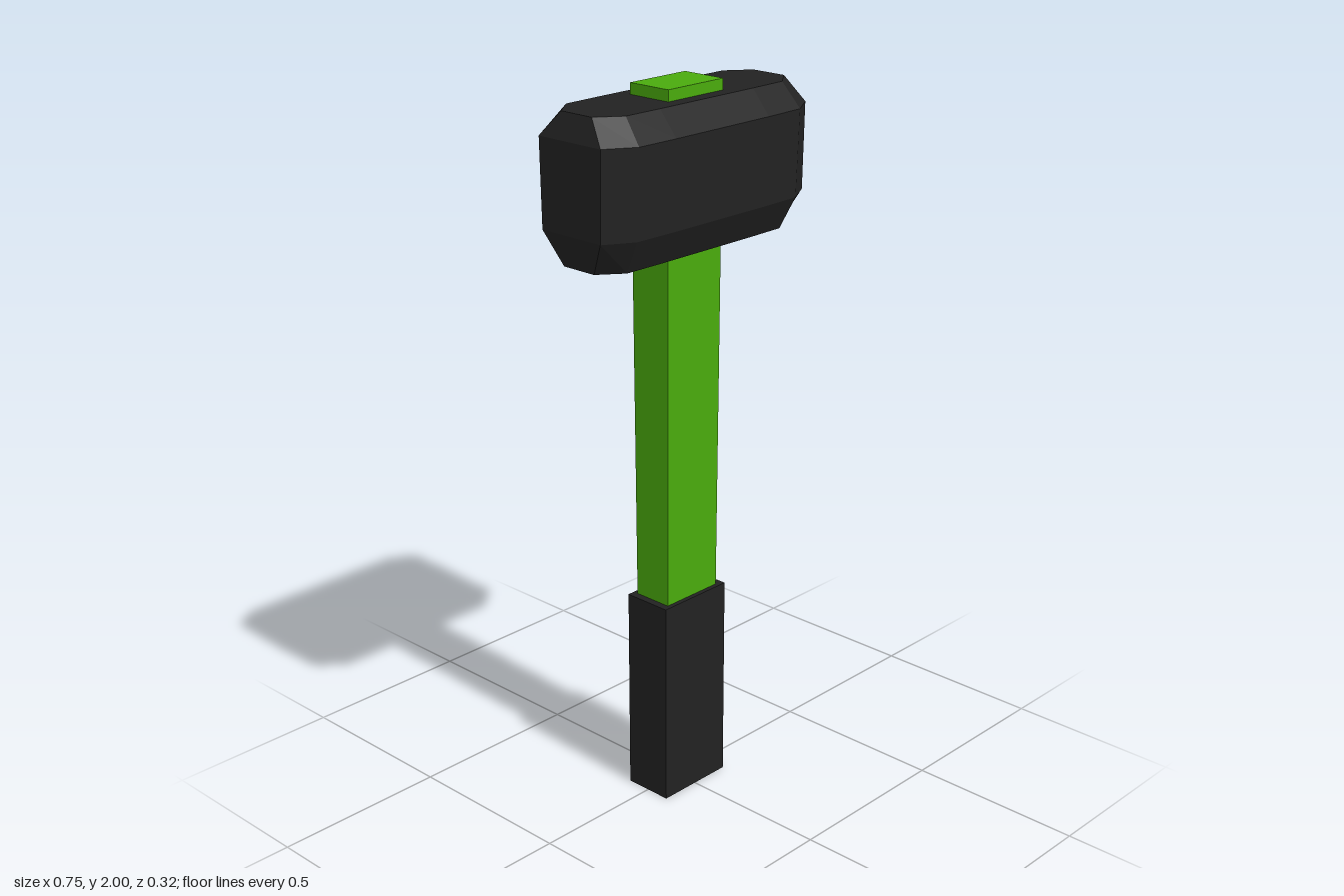
import * as THREE from 'three';

const rubber = new THREE.MeshStandardMaterial({ color: 0x222222 });
rubber.name = 'black';
rubber.flatShading = true;
const paint = new THREE.MeshStandardMaterial({ color: 0x4aab0d });
paint.name = 'green';

// Mirrors one quarter of a cross-section (x, z) into a full ring
function fullRing(quarter, y) {
  const back = [...quarter].reverse();
  return [
    ...quarter,
    ...back.map(([x, z]) => [-x, z]),
    ...quarter.map(([x, z]) => [-x, -z]),
    ...back.map(([x, z]) => [x, -z]),
  ].map(([x, z]) => new THREE.Vector3(x, y, z));
}

// Joins rings from bottom to top, with flat caps
function loft(rings) {
  const points = [];
  const n = rings[0].length;
  const bottom = rings[0];
  const top = rings[rings.length - 1];
  const bottomMid = new THREE.Vector3(0, bottom[0].y, 0);
  const topMid = new THREE.Vector3(0, top[0].y, 0);
  for (let i = 0; i < n; i++) {
    const j = (i + 1) % n;
    for (let k = 0; k < rings.length - 1; k++) {
      const lo = rings[k], hi = rings[k + 1];
      points.push(lo[i], hi[i], hi[j], lo[i], hi[j], lo[j]);
    }
    points.push(bottomMid, bottom[i], bottom[j], topMid, top[j], top[i]);
  }
  const geometry = new THREE.BufferGeometry().setFromPoints(points);
  geometry.computeVertexNormals();
  return geometry;
}

function rectangle(target, w, d) {
  target.moveTo(-w, -d);
  target.lineTo(w, -d);
  target.lineTo(w, d);
  target.lineTo(-w, d);
  target.closePath();
  return target;
}

export function createModel() {
  const group = new THREE.Group();
  group.name = 'hammer';

  const add = (name, geometry, material) => {
    const mesh = new THREE.Mesh(geometry, material);
    mesh.name = name;
    group.add(mesh);
  };

  // Chamfered head, slightly swollen at the middle of its long sides
  add('head', loft([
    fullRing([[0.35, 0.053], [0.285, 0.103], [0.17, 0.105]], 1.58),
    fullRing([[0.375, 0.102], [0.295, 0.148], [0.17, 0.151]], 1.67),
    fullRing([[0.375, 0.107], [0.295, 0.157], [0.17, 0.16]], 1.905),
    fullRing([[0.35, 0.053], [0.285, 0.103], [0.17, 0.105]], 1.97),
  ]), rubber);

  // Shaft tapering gently downwards, passing through the head
  const shaft = new THREE.BoxGeometry(0.2, 1.45, 0.132);
  shaft.translate(0, 1.275, 0);
  const p = shaft.attributes.position;
  for (let i = 0; i < p.count; i++) {
    if (p.getY(i) < 1) {
      p.setX(i, p.getX(i) * 0.96);
      p.setZ(i, p.getZ(i) * 0.87);
    }
  }
  shaft.computeVertexNormals();
  add('shaft', shaft, paint);

  // Hollow sleeve grip, open at the bottom
  const section = rectangle(new THREE.Shape(), 0.118, 0.071);
  section.holes.push(rectangle(new THREE.Path(), 0.097, 0.058));
  const grip = new THREE.ExtrudeGeometry(section, { depth: 0.59, bevelEnabled: false });
  grip.rotateX(-Math.PI / 2);
  add('grip', grip, rubber);

  return group;
}
